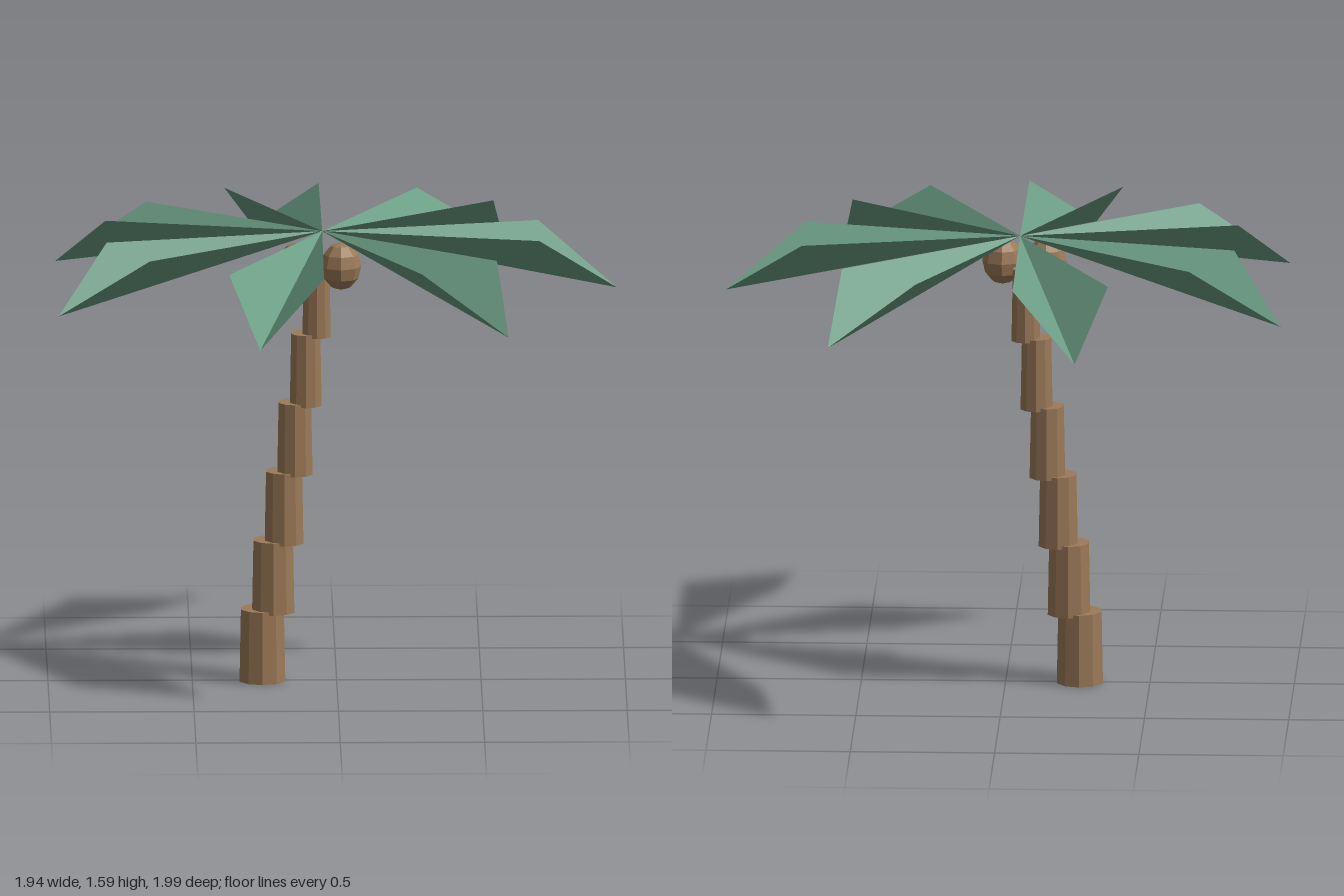
import * as THREE from 'three';

export function createModel() {
  const group = new THREE.Group();
  const bark = new THREE.MeshStandardMaterial({ color: 0x9c7a58, flatShading: true });
  const green = new THREE.MeshStandardMaterial({ color: 0x6b9c84, flatShading: true, side: THREE.DoubleSide });

  const add = (geometry, material, name, x, y, z) => {
    const mesh = new THREE.Mesh(geometry, material);
    mesh.name = name;
    mesh.position.set(x, y, z);
    group.add(mesh);
    return mesh;
  };

  // Leaning trunk: stepped, slightly tapered drums
  const drumHeight = 0.255;
  for (let i = 0; i < 6; i++) {
    const r = 0.083 - i * 0.0063;
    add(new THREE.CylinderGeometry(r - 0.005, r, drumHeight, 10), bark, 'trunkSegment' + (i + 1),
      -0.257 + i * 0.0375, drumHeight / 2 + i * 0.244, 0);
  }

  // Coconuts tucked under the crown, in front of the trunk
  [['coconutLeft', 0.014], ['coconutRight', -0.138]].forEach(([name, x]) => {
    add(new THREE.SphereGeometry(0.07, 8, 6), bark, name, x, 1.485, 0.077).scale.y = 1.2;
  });

  // Frond: two triangles folded into a V along a drooping midrib
  const frond = new THREE.BufferGeometry();
  const root = [0, 0, 0], tip = [1.02, -0.202, 0];
  const sideA = [0.75, 0, 0.168], sideB = [0.75, 0, -0.168];
  frond.setAttribute('position', new THREE.Float32BufferAttribute(
    [root, sideA, tip, root, tip, sideB].flat(), 3));
  frond.computeVertexNormals();

  // Crown of seven fronds
  for (let i = 0; i < 7; i++) {
    add(frond, green, 'frond' + (i + 1), -0.05, 1.592, 0).rotation.y = (i / 7) * Math.PI * 2;
  }

  return group;
}
